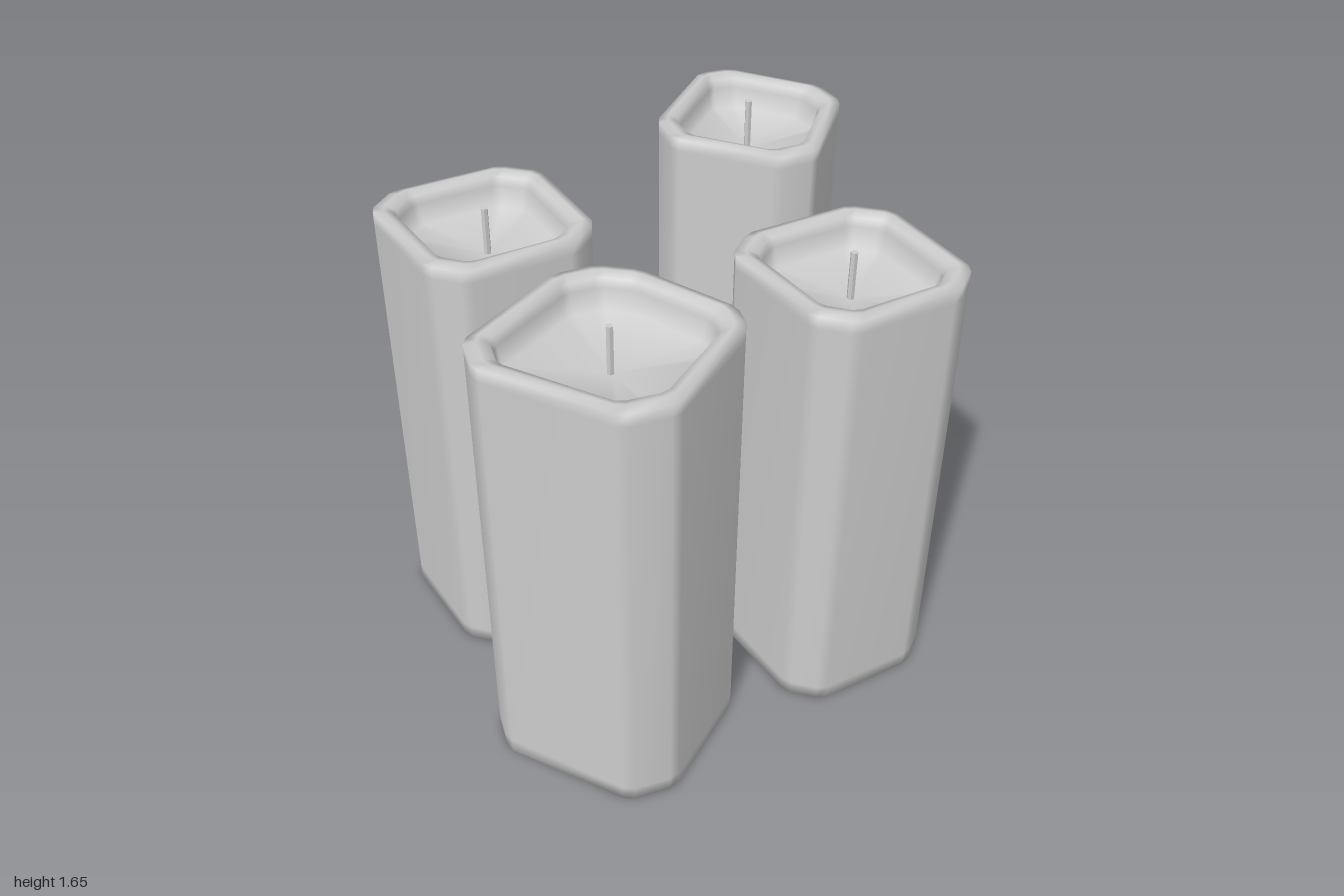
import * as THREE from 'three';
import { mergeVertices } from 'three/addons/utils/BufferGeometryUtils.js';

const HEIGHT = 1.58;

// Chamfered-square footprints, as [x, z] corners seen from above.
const SIDE = [[-0.857, -0.21], [-0.52, -0.37], [-0.385, -0.33], [-0.205, 0.015],
  [-0.26, 0.13], [-0.585, 0.292], [-0.71, 0.25], [-0.912, -0.09]];
const BACK = [[0.18, -0.975], [0.29, -1.005], [0.6, -0.85], [0.66, -0.725],
  [0.535, -0.36], [0.4, -0.305], [0.06, -0.46], [0.01, -0.6]];
const FRONT = [[-0.325, 0.305], [-0.2, 0.26], [-0.07, 0.29], [0.2, 0.5], [0.225, 0.6],
  [0.015, 0.95], [-0.14, 0.998], [-0.54, 0.77], [-0.575, 0.64]];

// Body profile as [inset from the outer wall, height]; null inset is the centre.
const PROFILE = [[null, 0], [0.05, 0], [0, 0], [0, 0.05], [0, HEIGHT - 0.05], [0, HEIGHT - 0.008],
  [0.03, HEIGHT], [0.06, HEIGHT - 0.012], [0.07, HEIGHT - 0.04], [0.085, HEIGHT - 0.11],
  [null, HEIGHT - 0.15]];

// Cut each corner slightly so the upright edges are soft.
function soften(points, cut = 0.02) {
  const out = [];
  points.forEach((p, i) => {
    const n = points.length;
    for (const q of [points[(i + n - 1) % n], points[(i + 1) % n]]) {
      const t = cut / Math.hypot(q[0] - p[0], q[1] - p[1]);
      out.push([p[0] + (q[0] - p[0]) * t, p[1] + (q[1] - p[1]) * t]);
    }
  });
  return out;
}

// Sweep the footprint through the profile, scaling each ring about the centre.
function bodyGeometry(footprint, cx, cz, radius) {
  const outline = soften(footprint);
  const n = outline.length;
  const positions = [];
  const index = [];
  PROFILE.forEach(([inset, y], k) => {
    const s = inset === null ? 0 : 1 - inset / radius;
    for (const [x, z] of outline) positions.push(cx + (x - cx) * s, y, cz + (z - cz) * s);
    if (k === PROFILE.length - 1) return;
    for (let i = 0; i < n; i++) {
      const a = k * n + i;
      const b = k * n + (i + 1) % n;
      if (inset !== null) index.push(a, a + n, b);
      if (PROFILE[k + 1][0] !== null) index.push(b, a + n, b + n);
    }
  });
  let geometry = new THREE.BufferGeometry();
  geometry.setAttribute('position', new THREE.Float32BufferAttribute(positions, 3));
  geometry.setIndex(index);
  geometry = mergeVertices(geometry, 1e-5);
  geometry.computeVertexNormals();
  return geometry;
}

export function createModel() {
  const model = new THREE.Group();
  model.name = 'candles';
  const wax = new THREE.MeshStandardMaterial({ color: 0xcccccc });
  const wickMaterial = new THREE.MeshStandardMaterial({ color: 0xcccccc, flatShading: true });

  const candles = [
    { name: 'backCandle', outline: BACK, center: [0.33, -0.66], radius: 0.3, at: [0, 0.04, 0], wickTop: 1.61 },
    { name: 'rightCandle', outline: SIDE, center: [-0.55, -0.05], radius: 0.3, at: [0, 0, 0], wickTop: 1.595 },
    { name: 'leftCandle', outline: SIDE, center: [-0.55, -0.05], radius: 0.3, at: [1.12, 0, 0.305], wickTop: 1.595 },
    { name: 'frontCandle', outline: FRONT, center: [-0.165, 0.615], radius: 0.34, at: [0, 0, 0], wickTop: 1.595 },
  ];

  for (const { name, outline, center: [cx, cz], radius, at, wickTop } of candles) {
    const candle = new THREE.Group();
    candle.name = name;
    candle.position.set(...at);

    const body = new THREE.Mesh(bodyGeometry(outline, cx, cz, radius), wax);
    body.name = 'waxBody';

    // Wick standing in the melted hollow
    const length = wickTop - (HEIGHT - 0.17);
    const wick = new THREE.Mesh(new THREE.CylinderGeometry(0.012, 0.012, length, 6), wickMaterial);
    wick.name = 'wick';
    wick.position.set(cx, wickTop - length / 2, cz);

    candle.add(body, wick);
    model.add(candle);
  }
  return model;
}
